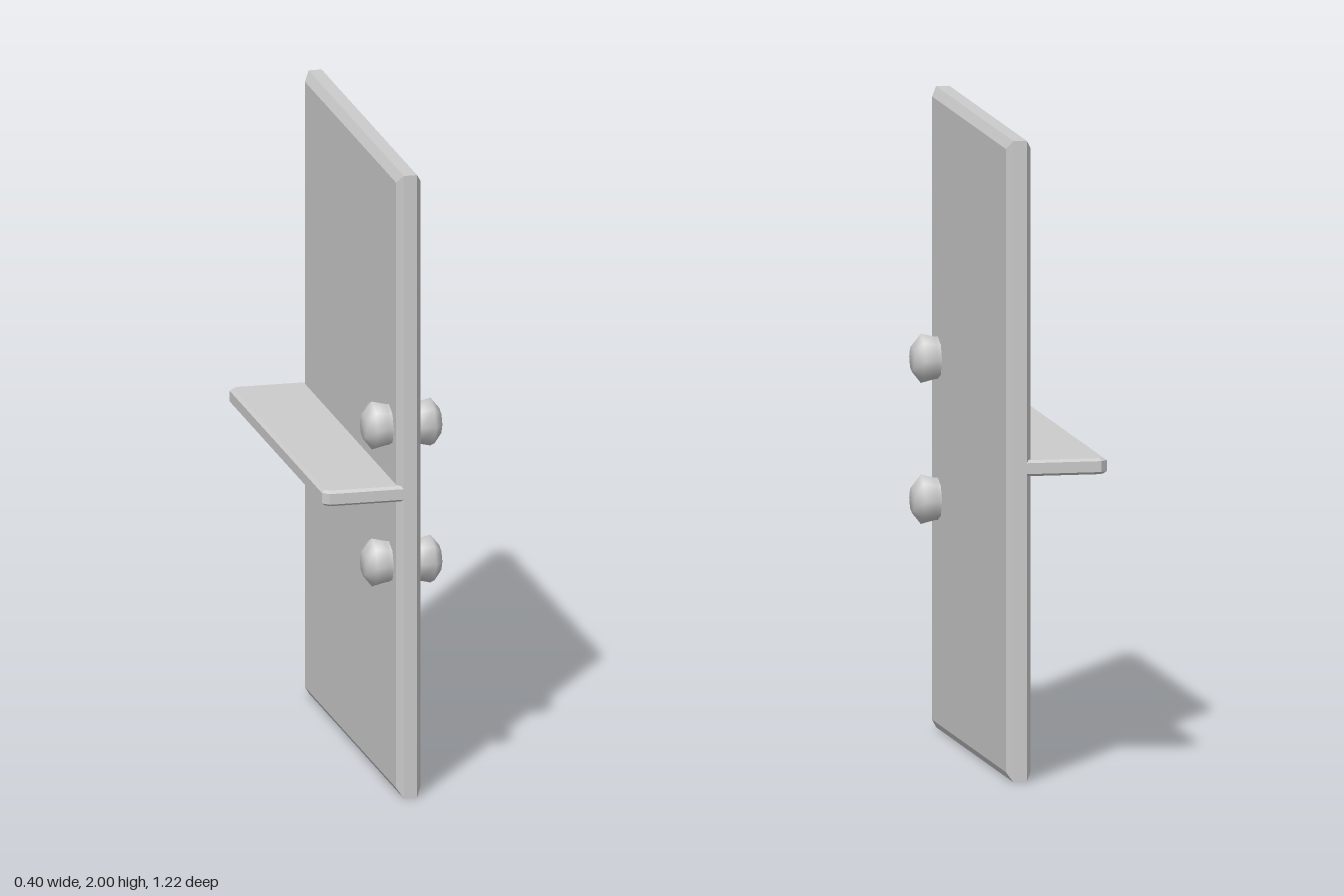
import * as THREE from 'three';

const material = new THREE.MeshStandardMaterial({ color: 0xcccccc });

function polygon(points) {
  return new THREE.Shape(points.map(([x, y]) => new THREE.Vector2(x, y)));
}

// Slab with a single chamfer; the outline is its full outer size, centred in depth
function chamferedSlab(outline, thickness, inset, chamfer) {
  const geometry = new THREE.ExtrudeGeometry(polygon(outline), {
    depth: thickness - 2 * chamfer,
    bevelEnabled: true,
    bevelThickness: chamfer,
    bevelSize: inset,
    bevelOffset: -inset,
    bevelSegments: 1,
  });
  return geometry.translate(0, 0, chamfer - thickness / 2);
}

function addMesh(group, name, geometry) {
  const mesh = new THREE.Mesh(geometry, material);
  mesh.name = name;
  group.add(mesh);
  return mesh;
}

export function createModel() {
  const group = new THREE.Group();
  group.name = 'door';
  const doorX = 0.077;
  const halfWidth = 0.61;

  // Door panel, standing in the YZ plane
  const panel = chamferedSlab(
    [[-halfWidth, 0], [halfWidth, 0], [halfWidth, 2], [-halfWidth, 2]], 0.078, 0.028, 0.018);
  panel.rotateY(Math.PI / 2);
  addMesh(group, 'doorPanel', panel).position.x = doorX;

  // Shelf with clipped outer corners, its inner edge sunk into the panel
  const clip = 0.02;
  const shelf = chamferedSlab([
    [0.07, -halfWidth], [0.07, halfWidth],
    [-0.2 + clip, halfWidth], [-0.2, halfWidth - clip],
    [-0.2, -halfWidth + clip], [-0.2 + clip, -halfWidth],
  ], 0.05, 0.011, 0.008);
  shelf.rotateX(Math.PI / 2);
  addMesh(group, 'shelf', shelf).position.y = 0.977;

  // Octagonal knobs flaring out on both sides of the panel
  const half = [[0.065, 0.035], [0.067, 0.052], [0.077, 0.093], [0.042, 0.121], [0, 0.121]];
  const profile = [
    ...half.map(([r, h]) => [r, -h]).reverse(),
    ...half,
  ].map(([r, h]) => new THREE.Vector2(r, h));
  const knob = new THREE.LatheGeometry(profile, 8).rotateZ(-Math.PI / 2);
  for (const [name, y] of [['upperKnob', 1.17], ['lowerKnob', 0.73]]) {
    addMesh(group, name, knob).position.set(doorX, y, 0.49);
  }

  return group;
}
